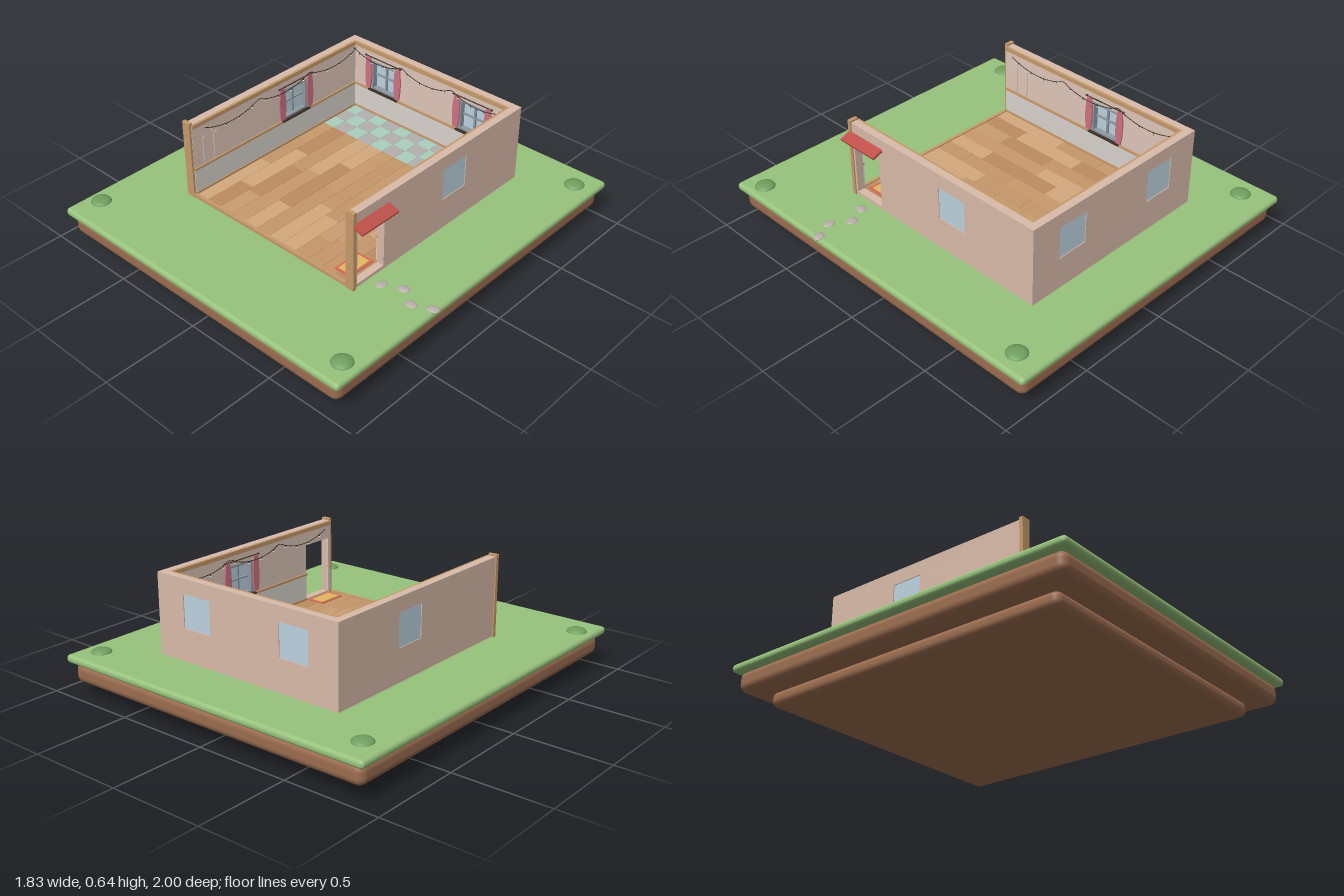
import * as THREE from 'three';
import { RoundedBoxGeometry } from 'three/addons/geometries/RoundedBoxGeometry.js';

const mats = {};
const mat = (c) => (mats[c] ??= new THREE.MeshStandardMaterial({ color: c }));
const C = {
  grass: 0x97c27c, soil: 0x9c6d50, wall: 0xd9bba9, lining: 0xdfc7b9, wainscot: 0xdad4ce, trim: 0xc79a6b,
  glass: 0xbcd3e0, frame: 0x8f9aa3, curtain: 0xcf7484, dark: 0x3d3029, bulb: 0xe6d6b4, bush: 0x6f9f5f,
  stone: 0xb9b0a8, awning: 0xc0504a, yellow: 0xe3b963, rugEdge: 0xd9674e,
};
const CX = -0.006;

function add(parent, name, geo, color, x = 0, y = 0, z = 0) {
  const m = new THREE.Mesh(geo, mat(color));
  m.name = name;
  m.position.set(x, y, z);
  parent.add(m);
  return m;
}

// box given by its limits on each axis
function box(parent, name, color, x0, x1, y0, y1, z0, z1) {
  return add(parent, name, new THREE.BoxGeometry(x1 - x0, y1 - y0, z1 - z0), color,
    (x0 + x1) / 2, (y0 + y1) / 2, (z0 + z1) / 2);
}

function rectPath(P, x0, x1, y0, y1) {
  const p = new P();
  p.moveTo(x0, y0);
  p.lineTo(x1, y0);
  p.lineTo(x1, y1);
  p.lineTo(x0, y1);
  p.closePath();
  return p;
}

// flat panel with rectangular holes
function panel(parent, name, color, [x0, x1, y0, y1], holes, z, depth) {
  const s = rectPath(THREE.Shape, x0, x1, y0, y1);
  s.holes = holes.map((h) => rectPath(THREE.Path, ...h));
  return add(parent, name, new THREE.ExtrudeGeometry(s, { depth, bevelEnabled: false }), color, 0, 0, z);
}

// window in wall space: +z faces the room
function addWindow(wall, u) {
  const g = new THREE.Group();
  g.name = 'window';
  g.position.x = u;
  wall.add(g);
  box(g, 'glass', C.glass, -0.085, 0.085, 0.39, 0.56, 0.004, 0.018);
  for (const s of [-1, 1]) {
    box(g, 'frameSide', C.frame, s * 0.08 - 0.006, s * 0.08 + 0.006, 0.39, 0.56, 0.018, 0.048);
    box(g, 'frameRail', C.frame, -0.085, 0.085, 0.475 + s * 0.08 - 0.005, 0.475 + s * 0.08 + 0.005, 0.018, 0.047);
  }
  box(g, 'mullion', C.frame, -0.005, 0.005, 0.395, 0.555, 0.018, 0.03);
  box(g, 'crossBar', C.frame, -0.08, 0.08, 0.471, 0.479, 0.018, 0.029);
  box(g, 'sill', C.dark, -0.1, 0.1, 0.38, 0.388, 0.04, 0.06);
  // curtain rod with end knobs
  const rod = add(g, 'curtainRod', new THREE.CylinderGeometry(0.003, 0.003, 0.24, 8), C.dark, 0, 0.586, 0.056);
  rod.rotation.z = Math.PI / 2;
  const s = new THREE.Shape();
  s.moveTo(-0.013, 0.395);
  s.quadraticCurveTo(-0.031, 0.48, -0.013, 0.586);
  s.lineTo(0.013, 0.586);
  s.quadraticCurveTo(0.031, 0.48, 0.013, 0.395);
  s.closePath();
  const cloth = new THREE.ExtrudeGeometry(s, { depth: 0.008, bevelEnabled: false, curveSegments: 10 });
  for (const d of [-1, 1]) {
    add(g, 'curtain', cloth, C.curtain, d * 0.1, 0, 0.052);
    add(g, 'rodKnob', new THREE.SphereGeometry(0.006, 10, 8), C.dark, d * 0.12, 0.586, 0.056);
  }
}

// sagging string of bulbs from a to b
function addGarland(wall, a, b, spans) {
  const pts = [], step = (b - a) / spans;
  for (let i = 0; i <= spans * 8; i++) {
    const t = (i % 8) / 8;
    pts.push(new THREE.Vector3(a + (step * i) / 8, 0.602 - 0.16 * t * (1 - t), 0.064));
  }
  const curve = new THREE.CatmullRomCurve3(pts);
  add(wall, 'lightString', new THREE.TubeGeometry(curve, spans * 24, 0.002, 5), C.dark);
  pts.forEach((p, i) => {
    if (i % 2 === 0) return;
    add(wall, 'bulbSocket', new THREE.CylinderGeometry(0.002, 0.003, 0.008, 6), C.dark, p.x, p.y - 0.005, p.z);
    add(wall, 'bulb', new THREE.SphereGeometry(0.005, 8, 6), C.bulb, p.x, p.y - 0.012, p.z);
  });
}

function addWall(parent, name, half, inner, windows, door) {
  const w = new THREE.Group();
  w.name = name;
  parent.add(w);
  const holes = windows.map((u) => [u - 0.085, u + 0.085, 0.39, 0.56]);
  const solid = door ? [...holes, [...door, 0.24, 0.54]] : holes;
  panel(w, 'wallShell', C.wall, [-half, half, 0.222, 0.635], solid, 0, 0.04);
  // lining, wainscot and trims stop at the doorway
  const runs = door ? [[-inner, door[0]], [door[1], inner]] : [[-inner, inner]];
  runs.forEach(([a, b], i) => {
    panel(w, 'upperLining', C.lining, [a, b, 0.385, 0.614], i === 0 ? holes : [], 0.04, 0.004);
    box(w, 'wainscot', C.wainscot, a, b, 0.245, 0.376, 0.04, 0.046);
    box(w, 'chairRail', C.trim, a, b, 0.374, 0.386, 0.04, 0.052);
    box(w, 'baseboard', C.trim, a, b, 0.23, 0.247, 0.04, 0.05);
  });
  if (door) box(w, 'lintelLining', C.lining, ...door, 0.54, 0.614, 0.04, 0.044);
  box(w, 'crownTrim', C.trim, -inner, inner, 0.613, 0.634, 0.04, 0.052);
  windows.forEach((u) => addWindow(w, u));
  return w;
}

function addFloor(parent) {
  const x0 = CX - 0.515, pitch = 1.03 / 12;
  let seed = 7;
  const rand = () => (seed = (seed * 16807) % 2147483647) / 2147483647;
  const woods = [0xcb9e73, 0xc6976a, 0xd3a97e, 0xbd8c62, 0xc99a6c];
  const floor = new THREE.Group();
  floor.name = 'floor';
  parent.add(floor);
  box(floor, 'subfloor', 0x8a6547, x0, x0 + 1.03, 0.215, 0.23, -0.675, 0.495);
  for (let i = 0; i < 12; i++) {
    const a = x0 + i * pitch + 0.0007, b = a + pitch - 0.0014;
    // kitchen tiles at the back
    for (let j = 0; j < 3; j++) {
      const z = -0.675 + j * 0.0877;
      box(floor, 'tile', (i + j) % 2 ? 0xb3b0b0 : 0xabcfbf, a, b, 0.228, 0.235, z, z + 0.0865);
    }
    // staggered planks
    let z = -0.412;
    while (z < 0.494) {
      let end = z + 0.2 + rand() * 0.26;
      if (end > 0.4) end = 0.495;
      box(floor, 'plank', woods[Math.floor(rand() * 5)], a, b, 0.228, 0.235, z, end - 0.0012);
      z = end;
    }
  }
  box(floor, 'frontSill', C.trim, CX - 0.535, CX + 0.535, 0.222, 0.24, 0.495, 0.512);
}

export function createModel() {
  const root = new THREE.Group();
  root.name = 'cutawayRoom';

  // island base: grass on two rounded soil layers
  add(root, 'grassSlab', new RoundedBoxGeometry(1.822, 0.042, 2, 4, 0.019), C.grass, CX, 0.194, 0);
  add(root, 'upperSoil', new RoundedBoxGeometry(1.77, 0.107, 1.95, 5, 0.04), C.soil, CX, 0.1235, 0);
  add(root, 'lowerSoil', new RoundedBoxGeometry(1.545, 0.08, 1.72, 5, 0.035), C.soil, CX, 0.04, 0);

  addFloor(root);

  // three walls
  const back = addWall(root, 'backWall', 0.55, 0.51, [-0.297, 0.297]);
  back.position.set(CX, 0, -0.71);
  addGarland(back, -0.5, 0.5, 3);

  const right = addWall(root, 'rightWall', 0.585, 0.585, [0.115]);
  right.position.set(CX - 0.55, 0, -0.085);
  right.rotation.y = Math.PI / 2;
  addGarland(right, -0.52, 0.57, 3);
  for (const u of [-0.51, -0.44]) box(right, 'wallBatten', C.lining, u - 0.012, u + 0.012, 0.39, 0.54, 0.04, 0.048);

  const left = addWall(root, 'leftWall', 0.585, 0.585, [-0.115], [0.385, 0.565]);
  left.position.set(CX + 0.55, 0, -0.085);
  left.rotation.y = -Math.PI / 2;
  addGarland(left, -0.57, 0.52, 3);

  // posts on the open front edge
  for (const s of [-1, 1]) {
    const x = CX + s * 0.532;
    box(root, 'frontPost', C.trim, x - 0.024, x + 0.024, 0.218, 0.645, 0.492, 0.512);
  }

  // sloping awning over the doorway
  const awning = add(root, 'awning', new THREE.BoxGeometry(0.064, 0.012, 0.24), C.awning, 0.57, 0.567, 0.39);
  awning.rotation.z = -0.36;

  // door mat
  box(root, 'matBorder', C.rugEdge, 0.39, 0.486, 0.235, 0.239, 0.305, 0.465);
  box(root, 'matCentre', C.yellow, 0.402, 0.474, 0.238, 0.241, 0.318, 0.452);

  // corner bushes
  const dome = new THREE.SphereGeometry(0.052, 24, 10, 0, Math.PI * 2, 0, Math.PI / 2);
  for (const [x, z] of [[-0.8, -0.85], [0.8, -0.866], [-0.836, 0.842], [0.82, 0.876]]) {
    add(root, 'bush', dome, C.bush, x, 0.213, z).scale.y = 0.42;
  }

  // stepping stones
  const pebble = new THREE.SphereGeometry(0.03, 16, 10);
  [[0.607, 0.385, 1.2], [0.7, 0.34, 0.1], [0.794, 0.4, -0.1], [0.887, 0.358, 0.4]].forEach(([x, z, r]) => {
    const s = add(root, 'steppingStone', pebble, C.stone, x, 0.214, z);
    s.scale.set(1.05, 0.28, 0.82);
    s.rotation.y = r;
  });
  return root;
}
